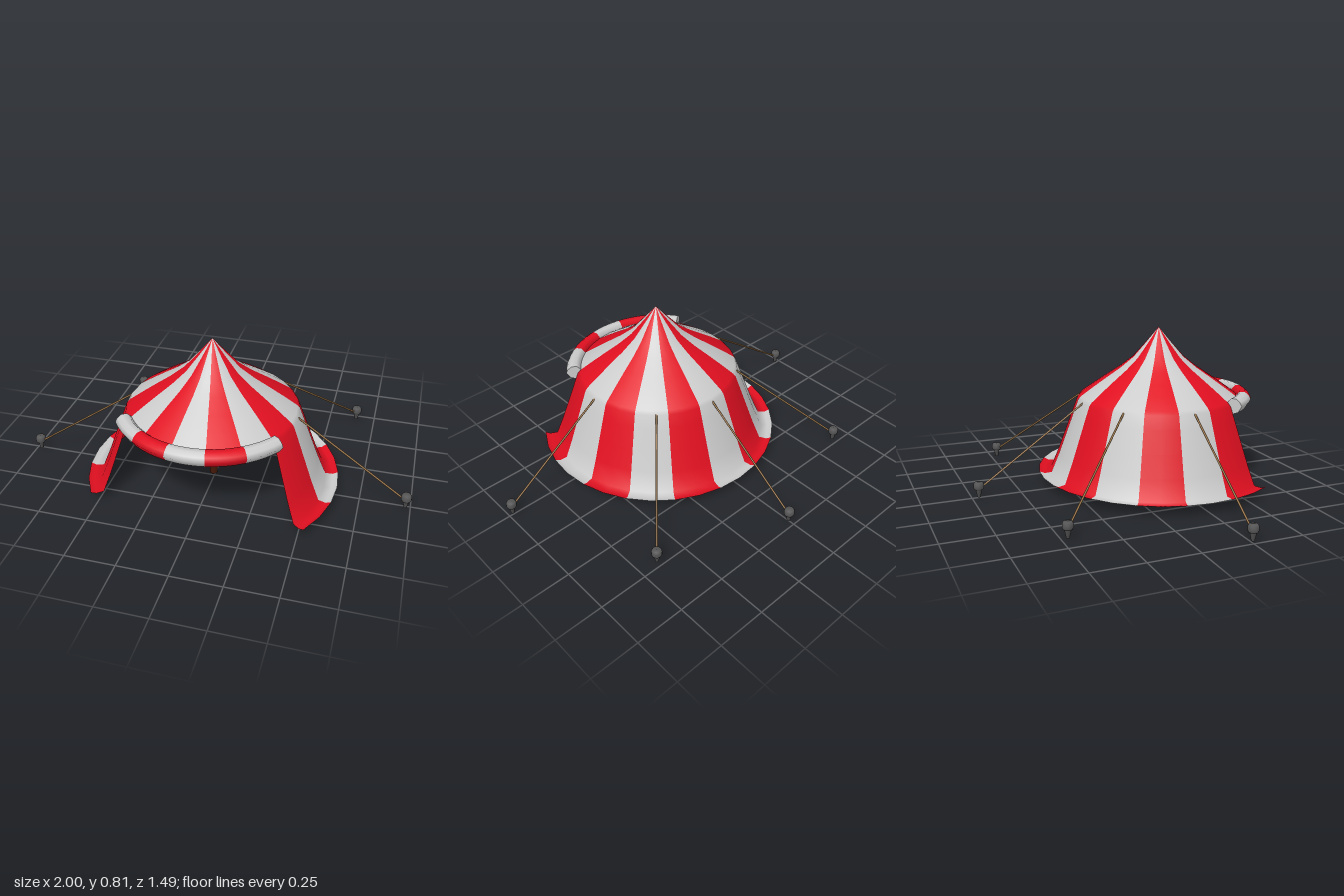
import * as THREE from 'three';

const STRIPES = 16;
const STEP = (Math.PI * 2) / STRIPES;
const v2 = (list) => list.map(([r, y]) => new THREE.Vector2(r, y));

// Profiles as [radius, height], from bottom to top
const WALL = [[0.637, 0.056], [0.61, 0.044], [0.572, 0.048], [0.53, 0.15], [0.49, 0.26], [0.45, 0.37], [0.426, 0.435]];
const ROOF = [[0.412, 0.452], [0.345, 0.5], [0.278, 0.546], [0.2, 0.598], [0.132, 0.652], [0.066, 0.727], [0, 0.806]];
const ROLL = [[0.41, 0.408], [0.44, 0.4], [0.466, 0.41], [0.486, 0.443], [0.475, 0.462], [0.455, 0.478], [0.428, 0.478], [0.408, 0.458], [0.41, 0.408]];
const PEG = [[0, 0], [0.008, 0.003], [0.016, 0.042], [0.022, 0.044], [0.026, 0.052], [0.026, 0.07], [0.02, 0.08], [0, 0.081]];

export function createModel() {
  const model = new THREE.Group();
  model.name = 'stripedTent';
  const tent = new THREE.Group();
  tent.name = 'tent';
  tent.position.z = 0.26;
  model.add(tent);

  const grey = new THREE.MeshStandardMaterial({ color: 0xcccccc, side: THREE.DoubleSide });
  const red = new THREE.MeshStandardMaterial({ color: 0xe00f20, side: THREE.DoubleSide });
  const wood = new THREE.MeshStandardMaterial({ color: 0x431808 });
  const ropeMat = new THREE.MeshStandardMaterial({ color: 0x9a7448 });
  const iron = new THREE.MeshStandardMaterial({ color: 0x555555 });

  const add = (parent, name, geometry, material) => {
    const mesh = new THREE.Mesh(geometry, material);
    mesh.name = name;
    parent.add(mesh);
    return mesh;
  };
  const group = (name) => {
    const g = new THREE.Group();
    g.name = name;
    tent.add(g);
    return g;
  };

  // Canvas stripes: the five at the front have no wall, only a rolled-up door
  const canvas = group('canvas');
  const roll = group('rolledDoor');
  for (let i = -2; i < STRIPES - 2; i++) {
    const start = (i - 0.5) * STEP;
    const cloth = i % 2 === 0 ? grey : red;
    const open = i <= 2;
    const profile = open ? ROOF : [...WALL, ...ROOF];
    add(canvas, open ? 'roofStripe' : 'tentStripe', new THREE.LatheGeometry(v2(profile), 2, start, STEP), cloth);
    if (open) add(roll, 'rollStripe', new THREE.LatheGeometry(v2(ROLL), 4, start, STEP), cloth);
  }

  // Closed ends of the rolled door
  for (const side of [-1, 1]) {
    const cap = new THREE.ShapeGeometry(new THREE.Shape(v2(ROLL.slice(0, -1))));
    cap.rotateY(side * 2.5 * STEP - Math.PI / 2);
    add(roll, 'rollEnd', cap, grey);
  }

  // Centre pole
  const pole = add(tent, 'centrePole', new THREE.CylinderGeometry(0.019, 0.019, 0.75, 16), wood);
  pole.position.y = 0.405;

  // Guy ropes with their pegs, around the sides and back
  const diagonal = THREE.MathUtils.degToRad(138.3);
  for (const angle of [Math.PI / 2, diagonal, Math.PI, -diagonal, -Math.PI / 2]) {
    const guy = group('guyLine');
    guy.rotation.y = angle;
    const path = new THREE.LineCurve3(new THREE.Vector3(0, 0.435, 0.42), new THREE.Vector3(0, 0.05, 0.965));
    add(guy, 'rope', new THREE.TubeGeometry(path, 1, 0.005, 8), ropeMat);
    const peg = add(guy, 'peg', new THREE.LatheGeometry(v2(PEG), 16), iron);
    peg.position.z = 0.975;
  }
  return model;
}
